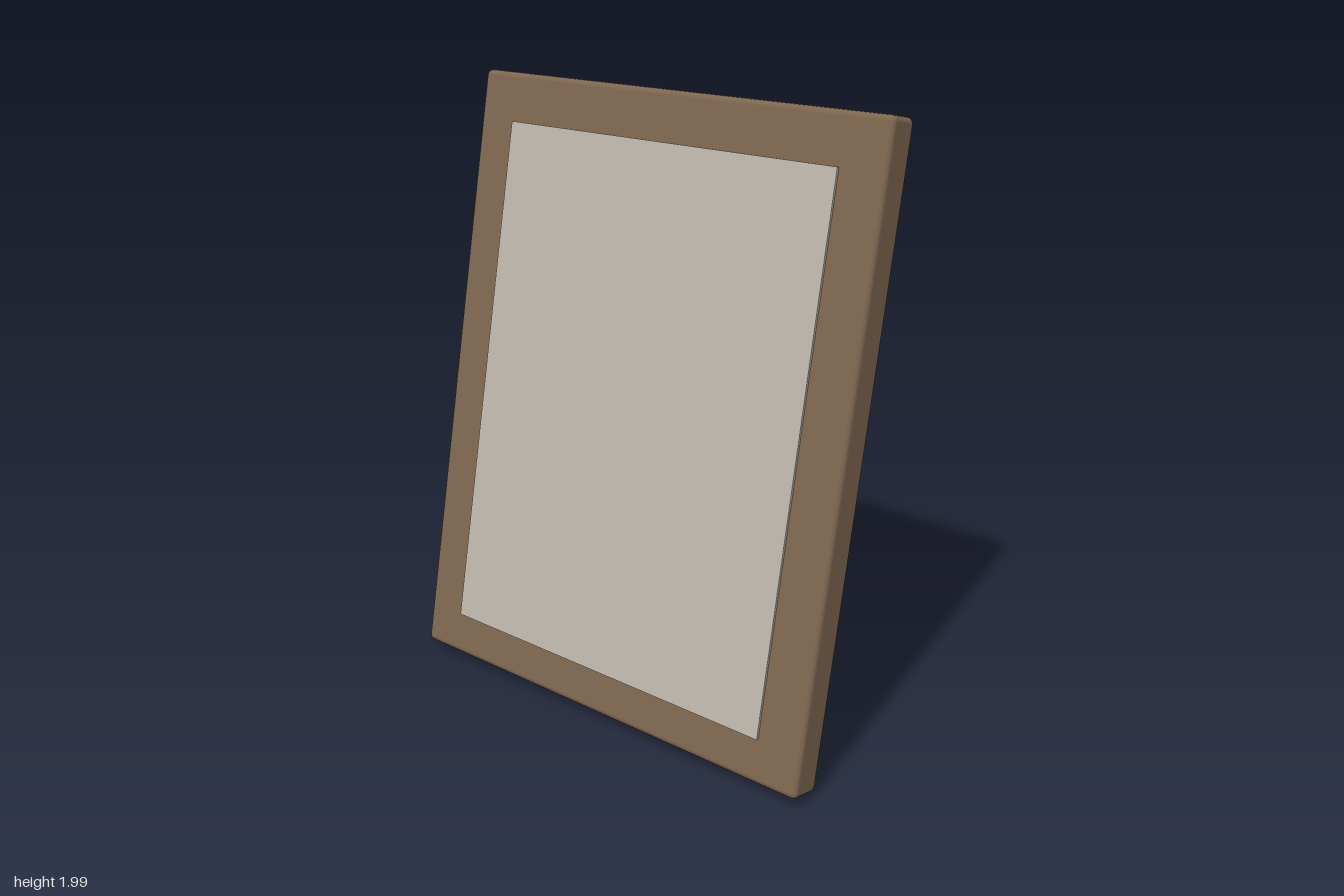
import * as THREE from 'three';
import { RoundedBoxGeometry } from 'three/addons/geometries/RoundedBoxGeometry.js';

export function createModel() {
  const model = new THREE.Group();
  model.name = 'pictureFrame';

  const wood = new THREE.MeshStandardMaterial({ color: 0x7d6650 });
  wood.name = 'brown wood';
  const paper = new THREE.MeshStandardMaterial({ color: 0xbdb5ab });
  paper.name = 'pale grey picture';

  function add(parent, name, geometry, material, x, y, z) {
    const mesh = new THREE.Mesh(geometry, material);
    mesh.name = name;
    mesh.position.set(x, y, z);
    parent.add(mesh);
    return mesh;
  }

  // Leaning panel: rounded board with a thin picture on its front
  const panel = new THREE.Group();
  panel.name = 'panel';
  panel.position.set(0, 1.01, 0.2725);
  panel.rotation.x = -0.2;
  model.add(panel);
  add(panel, 'frameBoard', new RoundedBoxGeometry(1.6, 2.0, 0.115, 2, 0.02), wood, 0, 0, 0);
  add(panel, 'picture', new THREE.BoxGeometry(1.29, 1.7, 0.009), paper, 0, -0.01, 0.061);

  // Rear prop, its top end sunk into the board
  const leg = add(model, 'supportLeg', new THREE.BoxGeometry(0.16, 1.446, 0.114), wood, 0, 0.6875, -0.1725);
  leg.rotation.x = 0.42;

  return model;
}
